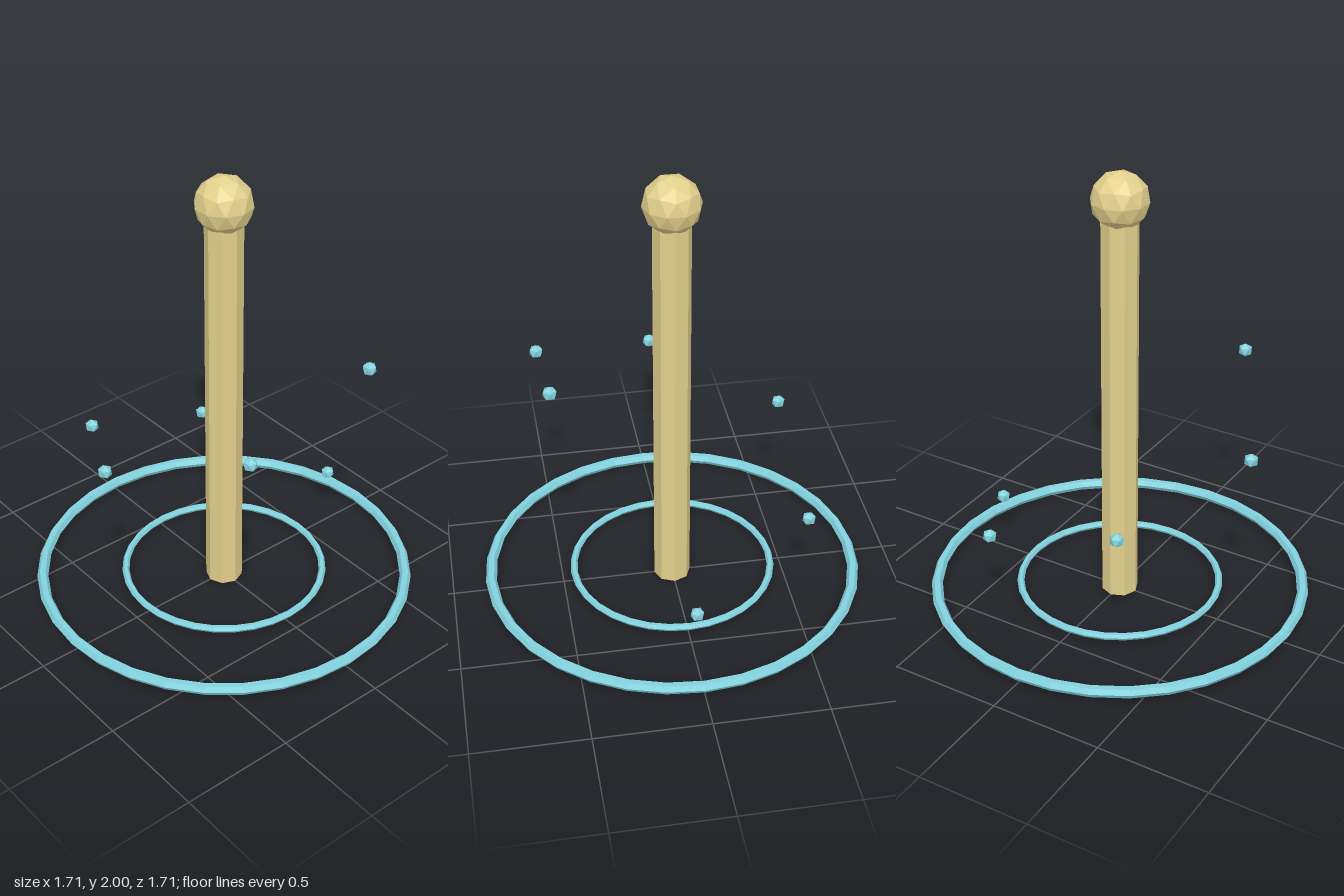
import * as THREE from 'three';

const flat = (color) => new THREE.MeshStandardMaterial({ color, flatShading: true });
const sand = flat(0xe2d08c);
const aqua = flat(0x82d2de);

// Faceted ball standing on one of its five-sided corners, next corner ring turned to +x
function ballGeometry(radius, detail) {
  const g = new THREE.IcosahedronGeometry(radius, detail);
  g.rotateX(-Math.atan((1 + Math.sqrt(5)) / 2));
  g.rotateY(Math.PI / 2);
  return g;
}

export function createModel() {
  const model = new THREE.Group();
  const add = (name, geometry, material, x, y, z) => {
    const mesh = new THREE.Mesh(geometry, material);
    mesh.name = name;
    mesh.position.set(x, y, z);
    model.add(mesh);
  };

  // Octagonal pillar with a faceted ball on top
  const pillarHeight = 1.81;
  add('pillar', new THREE.CylinderGeometry(0.082, 0.082, pillarHeight, 8), sand, 0, pillarHeight / 2, 0);
  add('topBall', ballGeometry(0.125, 1), sand, 0, 1.875, 0);

  // Two concentric rings hovering just above the base
  const rings = [['outerRing', 0.828, 0.025], ['innerRing', 0.45, 0.016]];
  for (const [name, radius, tube] of rings) {
    const ring = new THREE.TorusGeometry(radius, tube, 6, 32).rotateX(Math.PI / 2);
    add(name, ring, aqua, 0, 0.046, 0);
  }

  // Six small orbs climbing in a spiral around the pillar
  const orb = ballGeometry(0.032, 0);
  for (let i = 0; i < 6; i++) {
    const a = (i * Math.PI) / 3;
    add(`orb${i + 1}`, orb, aqua, 0.634 * Math.cos(a), 0.276 + i * 0.193, -0.634 * Math.sin(a));
  }

  return model;
}
